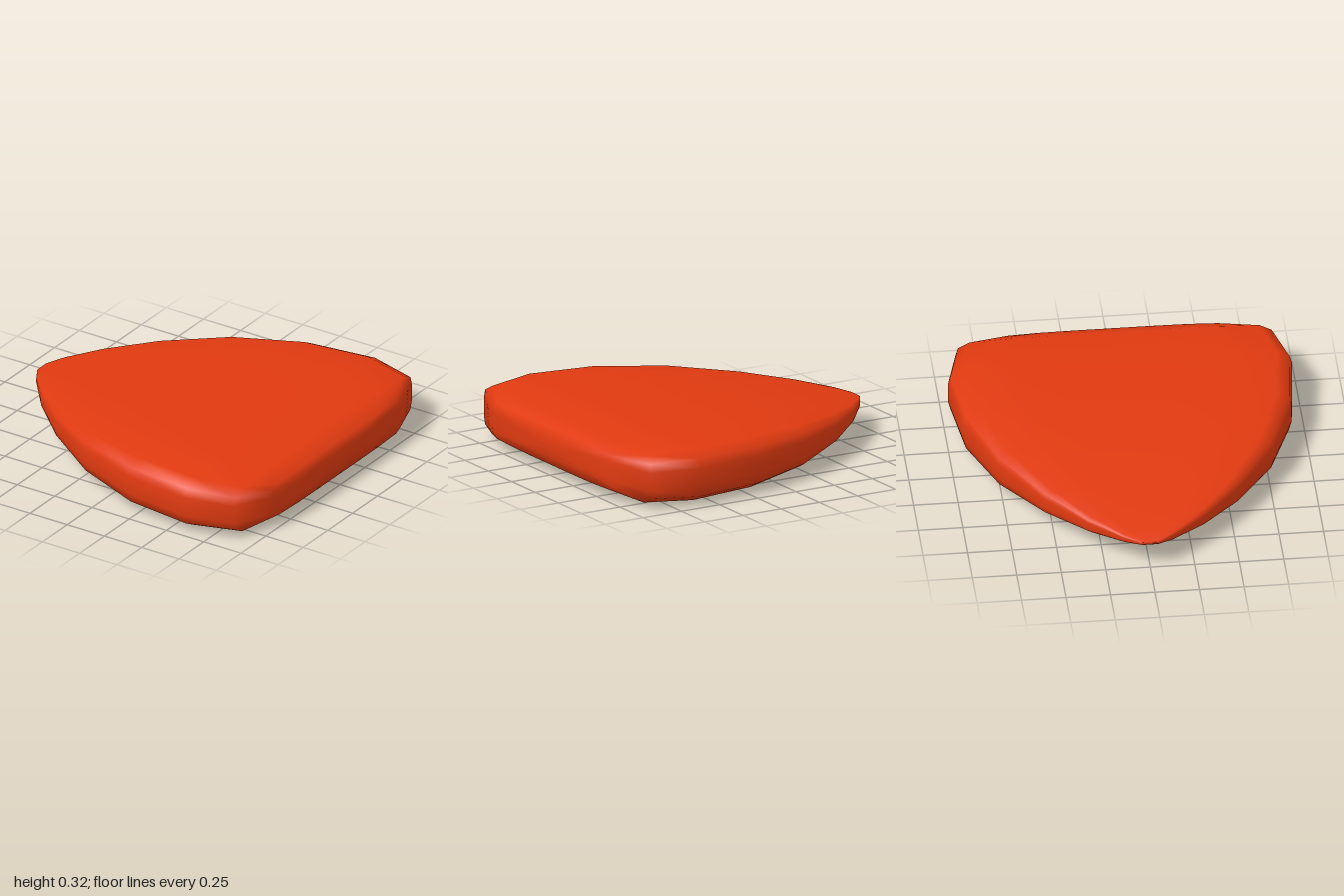
import * as THREE from 'three';

// Quarter of the rounded cross-section, as fractions of half width and half height
const QUARTER = [[1, 0], [1, 0.35], [0.985, 0.68], [0.91, 0.92], [0.64, 0.985], [0.35, 1], [0, 1]];

// Stations from the thin tip to the blunt end: x, half width, half height
const STATIONS = [
  [-1, 0.05, 0.009], [-0.94, 0.15, 0.025], [-0.79, 0.33, 0.053], [-0.545, 0.55, 0.09],
  [-0.2, 0.775, 0.129], [0.2, 0.922, 0.156], [0.6, 0.967, 0.162], [0.885, 0.895, 0.148],
  [0.983, 0.65, 0.108], [1, 0.34, 0.055],
];
const MID_Y = 0.162;

// Mirror the quarter into a closed loop of [z, y]
function sectionLoop() {
  const half = [...QUARTER, ...QUARTER.slice(0, -1).reverse().map(([z, y]) => [-z, y])];
  return [...half, ...half.slice(1, -1).reverse().map(([z, y]) => [z, -y])];
}

function loftGeometry() {
  const loop = sectionLoop();
  const n = loop.length;
  const positions = [];
  const index = [];
  for (const [x, w, h] of STATIONS) {
    for (const [z, y] of loop) positions.push(x, MID_Y + y * h, z * w);
  }
  // Walls between neighbouring sections
  for (let s = 0; s < STATIONS.length - 1; s++) {
    for (let i = 0; i < n; i++) {
      const a = s * n + i;
      const b = s * n + (i + 1) % n;
      index.push(a, a + n, b, b, a + n, b + n);
    }
  }
  // Fans closing the tip and the blunt end
  const tip = positions.length / 3;
  const last = (STATIONS.length - 1) * n;
  positions.push(-1, MID_Y, 0, 1, MID_Y, 0);
  for (let i = 0; i < n; i++) {
    const j = (i + 1) % n;
    index.push(tip, i, j, tip + 1, last + j, last + i);
  }
  const geometry = new THREE.BufferGeometry();
  geometry.setAttribute('position', new THREE.Float32BufferAttribute(positions, 3));
  geometry.setIndex(index);
  geometry.computeVertexNormals();
  return geometry;
}

export function createModel() {
  const group = new THREE.Group();
  group.name = 'roundedWedge';
  const body = new THREE.Mesh(loftGeometry(), new THREE.MeshStandardMaterial({ color: 0xe03a10 }));
  body.name = 'wedgeBody';
  group.add(body);
  return group;
}
